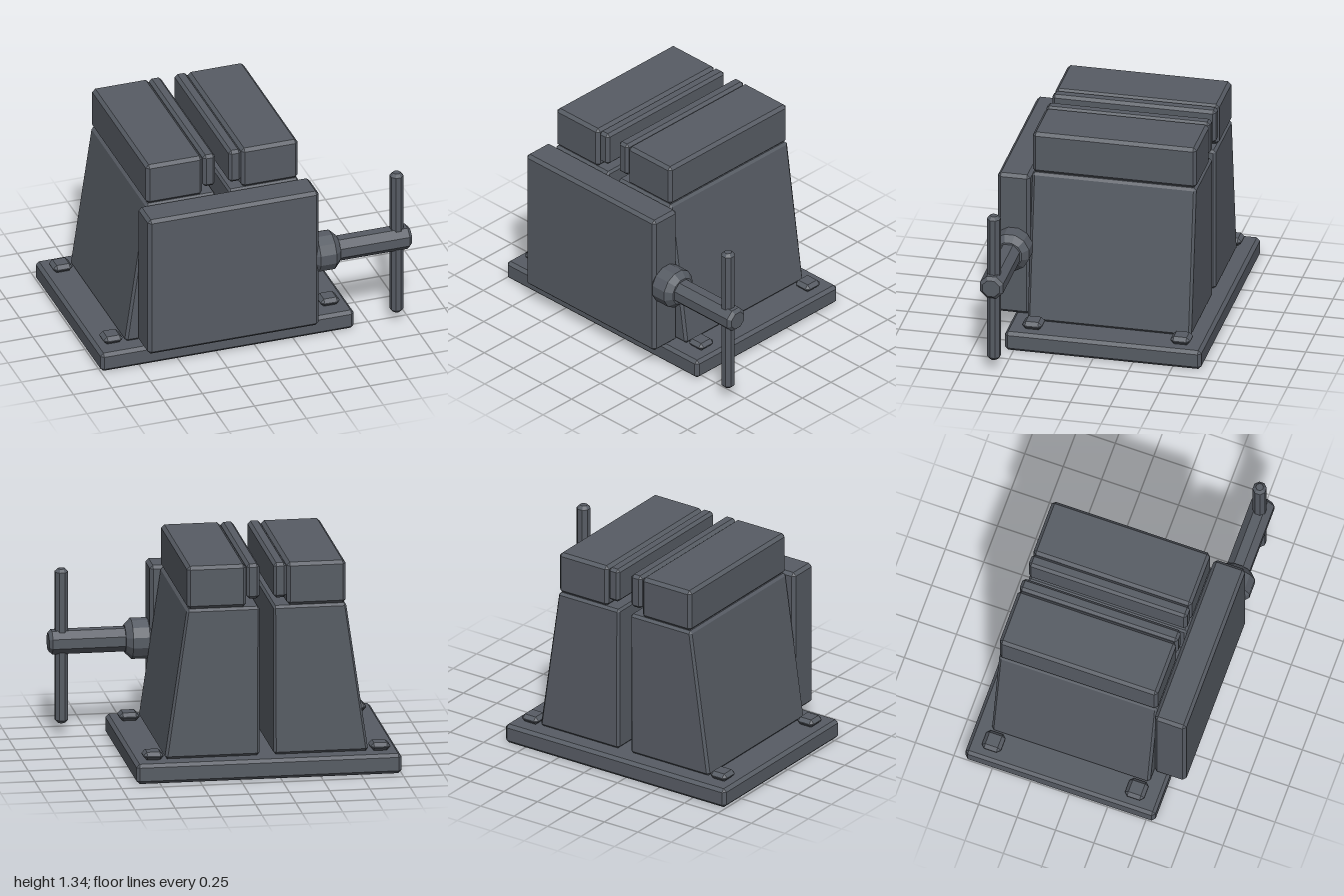
import * as THREE from 'three';
import { ConvexGeometry } from 'three/addons/geometries/ConvexGeometry.js';

const steel = new THREE.MeshStandardMaterial({ color: 0x575c64 });
steel.name = 'dark steel';

// Box between two corners with every edge chamfered by b; warp may move points.
function chamferBox(lo, hi, b, warp) {
  const points = [];
  for (let corner = 0; corner < 8; corner++) {
    for (let axis = 0; axis < 3; axis++) {
      const p = [0, 1, 2].map((k) => {
        const inset = k === axis ? 0 : b;
        return (corner >> k) & 1 ? hi[k] - inset : lo[k] + inset;
      });
      const v = new THREE.Vector3(...p);
      if (warp) warp(v);
      points.push(v);
    }
  }
  return new ConvexGeometry(points);
}

// Faceted solid of revolution around y, from [radius, height] pairs, a flat facing each axis.
function facetedLathe(profile, sides) {
  const pts = profile.map(([r, y]) => new THREE.Vector2(r / Math.cos(Math.PI / sides), y));
  const g = new THREE.LatheGeometry(pts, sides, Math.PI / sides).toNonIndexed();
  g.computeVertexNormals();
  return g;
}

export function createModel() {
  const group = new THREE.Group();
  const add = (name, geometry) => {
    const mesh = new THREE.Mesh(geometry, steel);
    mesh.name = name;
    group.add(mesh);
    return mesh;
  };

  add('basePlate', chamferBox([-1, 0, -0.68], [0.645, 0.125, 0.555], 0.02));

  // Bolt heads at the base corners
  for (const x of [-0.883, 0.525]) {
    for (const z of [-0.533, 0.398]) {
      add('boltHead', chamferBox([x - 0.062, 0.125, z - 0.062], [x + 0.062, 0.175, z + 0.062], 0.022));
    }
  }

  // Two mirrored halves: tapered block, jaw and grip plate
  const mid = -0.178, back = -0.575, front = 0.455;
  for (const [side, s] of [['left', 1], ['right', -1]]) {
    const half = (name, x0, x1, y0, y1, b, warp) => {
      const xs = [mid + s * x0, mid + s * x1].sort((p, q) => p - q);
      add(side + name, chamferBox([xs[0], y0, back], [xs[1], y1, front], b, warp));
    };
    // The outer face leans inwards, the inner face stays upright
    const lean = (v) => {
      const d = (v.x - mid) * s;
      const t = (v.y - 0.125) / 0.945;
      v.x = mid + s * (0.043 + (d - 0.043) * (1 - t * 0.235));
    };
    half('Block', 0.043, 0.632, 0.125, 1.07, 0.016, lean);
    half('Jaw', 0.126, 0.493, 1.07, 1.34, 0.02);
    half('GripPlate', 0.043, 0.124, 1.12, 1.34, 0.018);
  }

  add('frontPlate', chamferBox([-0.73, 0.127, 0.455], [0.38, 1.073, 0.66], 0.02));

  // Screw along x with its collar
  const alongX = (mesh) => {
    mesh.rotation.z = -Math.PI / 2;
    mesh.position.set(0, 0.592, 0.558);
  };
  alongX(add('screwCollar', facetedLathe(
    [[0, 0.34], [0.085, 0.34], [0.122, 0.383], [0.122, 0.485], [0.085, 0.525], [0, 0.525]], 12)));
  alongX(add('screwShaft', facetedLathe(
    [[0, 0.36], [0.073, 0.36], [0.073, 0.977], [0.053, 0.998], [0, 0.998]], 8)));

  // Upright turning handle through the screw end
  add('turningHandle', facetedLathe(
    [[0, 0.077], [0.022, 0.077], [0.04, 0.097], [0.04, 1.035], [0.022, 1.055], [0, 1.055]], 8))
    .position.set(0.915, 0, 0.558);

  return group;
}
